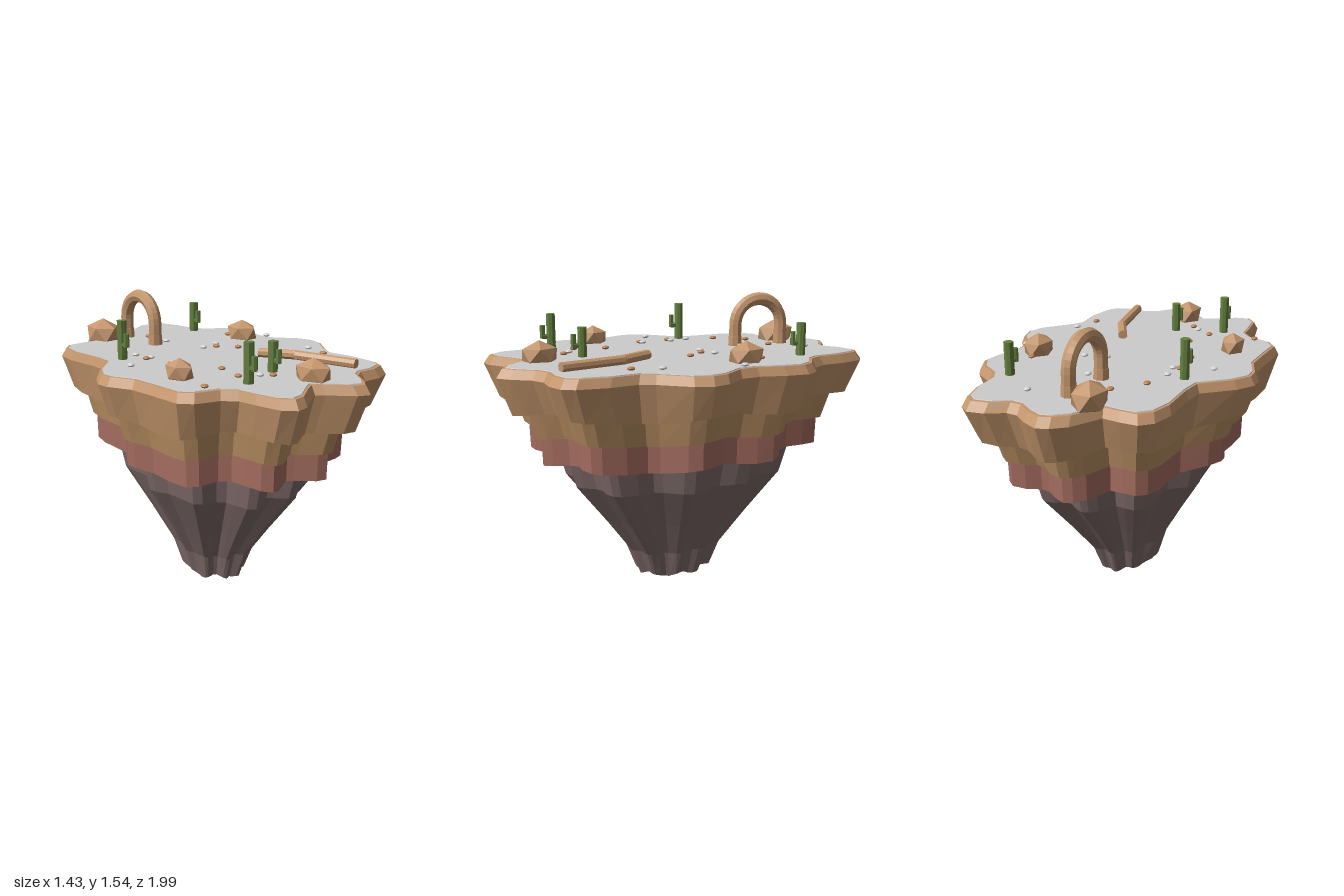
import * as THREE from 'three';

const material = (name, color) => new THREE.MeshStandardMaterial({ name, color, flatShading: true });
const sand = material('sandstone', 0xc4966c);
const ochre = material('ochre rock', 0xb98f62);
const red = material('red rock', 0xa56d60);
const umber = material('deep rock', 0x7f6a6a);
const ground = material('pale ground', 0xcccccc);
const green = material('cactus green', 0x64803f);
const brown = material('brown stone', 0xb9804f);
const white = material('pale stone', 0xd6d6d6);

const TOP = 1.255;

// Lobed island outline (x, z), seen from above
const OUTLINE = [
  [0, -1], [0.08, -0.96], [0.15, -0.905], [0.21, -0.9], [0.3, -0.95], [0.39, -0.965], [0.44, -0.925],
  [0.47, -0.8], [0.475, -0.66], [0.52, -0.58], [0.62, -0.51], [0.66, -0.44], [0.645, -0.32],
  [0.605, -0.185], [0.615, -0.08], [0.7, 0.04], [0.72, 0.13], [0.685, 0.22], [0.56, 0.36],
  [0.52, 0.43], [0.53, 0.58], [0.505, 0.74], [0.465, 0.8], [0.375, 0.825], [0.27, 0.815],
  [0.2, 0.85], [0.13, 0.94], [0.07, 0.99], [0.01, 0.96], [-0.085, 0.845], [-0.12, 0.81],
  [-0.18, 0.84], [-0.31, 0.92], [-0.38, 0.93], [-0.43, 0.87], [-0.445, 0.74], [-0.45, 0.635],
  [-0.505, 0.57], [-0.63, 0.525], [-0.68, 0.46], [-0.67, 0.29], [-0.665, 0.13], [-0.715, 0],
  [-0.715, -0.07], [-0.655, -0.16], [-0.505, -0.29], [-0.49, -0.4], [-0.49, -0.61], [-0.46, -0.725],
  [-0.4, -0.78], [-0.31, -0.78], [-0.22, -0.77], [-0.18, -0.84], [-0.13, -0.925], [-0.06, -0.98],
];

// Stack of scaled outlines, bottom to top: [height, scale, wave height]
function strata(name, mat, rings) {
  const n = OUTLINE.length, pos = [], index = [];
  for (const [y, s, wave = 0] of rings) {
    for (const [x, z] of OUTLINE) {
      const a = Math.atan2(z, x);
      pos.push(x * s, y + wave * Math.sin(a * 6 + 1), z * s);
    }
  }
  for (let r = 0; r < rings.length - 1; r++) {
    for (let j = 0; j < n; j++) {
      const a = r * n + j, b = r * n + (j + 1) % n;
      if (rings[r][1] > 0) index.push(a, a + n, b);
      if (rings[r + 1][1] > 0) index.push(b, a + n, b + n);
      // Closing fan at a ring collapsed to the centre
      if (rings[r][1] === 0 && rings[r + 1][1] === 0) index.length -= 0;
    }
  }
  const geo = new THREE.BufferGeometry();
  geo.setAttribute('position', new THREE.Float32BufferAttribute(pos, 3));
  geo.setIndex(index);
  geo.computeVertexNormals();
  const mesh = new THREE.Mesh(geo, mat);
  mesh.name = name;
  return mesh;
}

function add(parent, name, geo, mat, x = 0, y = 0, z = 0) {
  const mesh = new THREE.Mesh(geo, mat);
  mesh.name = name;
  mesh.position.set(x, y, z);
  parent.add(mesh);
  return mesh;
}

// Straight trunk with one raised arm towards the front
function cactus(x, z, height) {
  const g = new THREE.Group();
  g.name = 'cactus';
  g.position.set(x, TOP - 0.01, z);
  add(g, 'trunk', new THREE.CylinderGeometry(0.025, 0.025, height, 8), green, 0, height / 2);
  const y = height * 0.42;
  const stub = add(g, 'armStub', new THREE.CylinderGeometry(0.014, 0.014, 0.05, 6), green, -0.004, y, 0.025);
  stub.rotation.x = Math.PI / 2;
  add(g, 'arm', new THREE.CylinderGeometry(0.015, 0.015, 0.07, 6), green, -0.008, y + 0.025, 0.045);
  return g;
}

function arch() {
  const g = new THREE.Group();
  g.name = 'stoneArch';
  g.position.set(-0.022, 1.37, -0.556);
  g.rotation.y = Math.PI / 2 - 0.1;
  add(g, 'archCurve', new THREE.TorusGeometry(0.14, 0.036, 8, 16, Math.PI), sand);
  for (const side of [-1, 1]) {
    add(g, 'archLeg', new THREE.CylinderGeometry(0.036, 0.036, 0.13, 8), sand, side * 0.14, -0.065);
    add(g, 'archFoot', new THREE.CylinderGeometry(0.038, 0.041, 0.06, 8), sand, side * 0.14, -0.09);
  }
  return g;
}

export function createModel() {
  const model = new THREE.Group();
  model.name = 'floatingDesertIsland';

  // Rock layers
  model.add(
    strata('deepRock', umber, [[0.03, 0], [0.018, 0.205, 0.012], [0.16, 0.26], [0.36, 0.41],
      [0.58, 0.585], [0.76, 0.635], [0.76, 0]]),
    strata('redLayer', red, [[0.74, 0], [0.735, 0.77, 0.014], [0.89, 0.775], [0.89, 0]]),
    strata('ochreLayer', ochre, [[0.88, 0], [0.88, 0.8, 0.014], [1.04, 0.85], [1.04, 0]]),
    strata('sandLayer', sand, [[1.02, 0], [1.02, 0.925, 0.02], [1.205, 1], [1.25, 0.968], [1.25, 0]]),
    strata('groundSurface', ground, [[1.251, 0.95], [TOP, 0.948], [TOP, 0]]),
  );

  for (const [x, z, h] of [[-0.41, -0.25, 0.215], [-0.32, 0.57, 0.21], [-0.06, 0.49, 0.165], [0.4, -0.56, 0.18]]) {
    model.add(cactus(x, z, h));
  }
  model.add(arch());

  // Bent fallen log with closed ends
  const bend = [[0.145, 0.21], [0.235, 0.385], [0.295, 0.735]].map(([x, z]) => new THREE.Vector3(x, 1.276, z));
  const log = new THREE.Group();
  log.name = 'fallenLog';
  model.add(log);
  for (let i = 0; i < 2; i++) {
    const mid = bend[i].clone().add(bend[i + 1]).multiplyScalar(0.5);
    const dir = bend[i + 1].clone().sub(bend[i]);
    const part = add(log, 'logSection', new THREE.CylinderGeometry(0.026, 0.026, dir.length(), 8), sand, ...mid);
    part.quaternion.setFromUnitVectors(new THREE.Vector3(0, 1, 0), dir.normalize());
  }
  add(log, 'logBend', new THREE.SphereGeometry(0.026, 8, 6), sand, ...bend[1]);

  // Boulders with one corner pointing up
  const rock = new THREE.IcosahedronGeometry(1).rotateX(-Math.atan((1 + Math.sqrt(5)) / 2));
  const boulders = [[-0.145, -0.75, 0.092, 0.118, 0.085], [0.445, -0.2, 0.08, 0.105, 0.073],
    [-0.48, 0.265, 0.066, 0.088, 0.066], [-0.04, 0.73, 0.08, 0.105, 0.073]];
  boulders.forEach(([x, z, rx, rz, ry], i) => {
    const geo = rock.clone().rotateY(i * 1.3).scale(rx, ry, rz);
    add(model, 'boulder', geo, sand, x, 1.288, z);
  });

  // Scattered pebbles
  const pebble = new THREE.IcosahedronGeometry(1, 1).scale(0.018, 0.01, 0.021);
  const brownSpots = [[-0.155, -0.555], [0.055, -0.58], [-0.28, -0.41], [-0.34, -0.14], [0.14, -0.105],
    [0.21, -0.005], [-0.33, 0.04], [-0.22, 0.295], [-0.53, 0.49], [-0.275, 0.46], [-0.14, 0.565],
    [0.42, 0.425], [0.43, -0.3]];
  const whiteSpots = [[0.2, -0.725], [0.04, -0.41], [-0.32, -0.25], [-0.305, -0.145], [-0.5, -0.075],
    [0.07, -0.135], [0.19, -0.16], [-0.31, 0.03], [0.47, 0.28], [-0.185, 0.52], [0.57, -0.12]];
  for (const [x, z] of brownSpots) add(model, 'brownPebble', pebble, brown, x, 1.266, z);
  for (const [x, z] of whiteSpots) add(model, 'palePebble', pebble, white, x, 1.266, z);

  return model;
}
